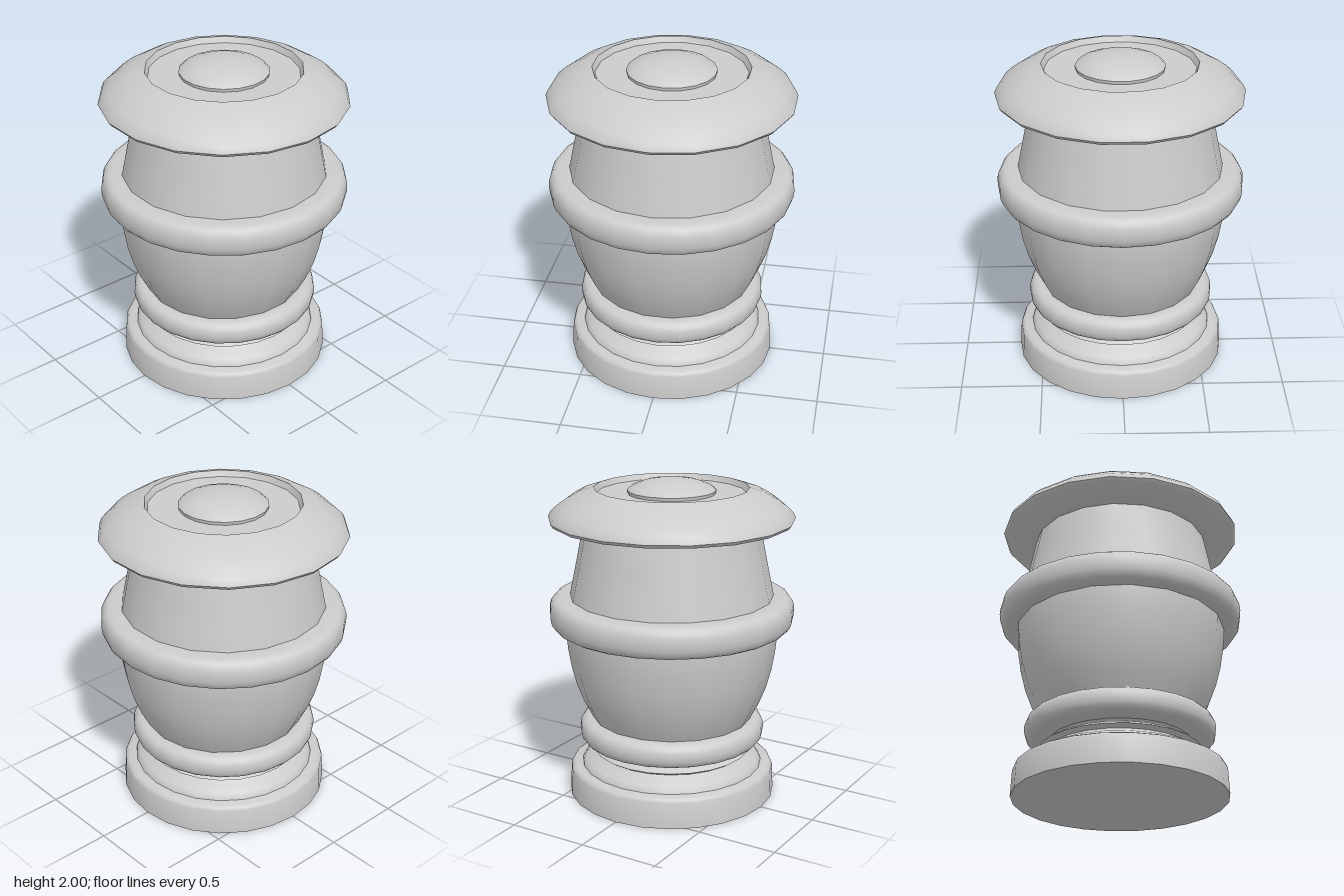
import * as THREE from 'three';
import { toCreasedNormals } from 'three/addons/utils/BufferGeometryUtils.js';

const material = new THREE.MeshStandardMaterial({ color: 0xcccccc });

// Turned part: profile of [radius, y] running from the bottom up
function turned(name, profile, sides, start = Math.PI / 2) {
  const points = profile.map(([r, y]) => new THREE.Vector2(r, y));
  const geometry = new THREE.LatheGeometry(points, sides, start);
  const mesh = new THREE.Mesh(toCreasedNormals(geometry, 0.75), material);
  mesh.name = name;
  return mesh;
}

// Bulging ring with softly squared edges, between two heights
function ring(name, inner, outer, y0, y1) {
  const mid = (y0 + y1) / 2, half = (y1 - y0) / 2, depth = 0.075;
  const profile = [[inner, y0]];
  for (let i = 0; i <= 10; i++) {
    const a = -Math.PI / 2 + (i / 10) * Math.PI;
    const c = Math.max(0, Math.cos(a)), s = Math.sin(a);
    profile.push([
      outer - depth + depth * Math.pow(c, 0.8),
      mid + half * Math.sign(s) * Math.pow(Math.abs(s), 0.85),
    ]);
  }
  profile.push([inner, y1]);
  return turned(name, profile, 24);
}

export function createModel() {
  const model = new THREE.Group();
  model.name = 'turnedPost';

  // Foot: plain plinth and the moulded neck above it
  model.add(turned('base', [
    [0, 0], [0.65, 0], [0.642, 0.16], [0.634, 0.178], [0.615, 0.188], [0, 0.188],
  ], 24));
  model.add(turned('neck', [
    [0.57, 0.18], [0.565, 0.2], [0.545, 0.225], [0.49, 0.25], [0.465, 0.27],
    [0.497, 0.29], [0.46, 0.315], [0.425, 0.33], [0.45, 0.36],
  ], 24));
  model.add(ring('lowerRing', 0.43, 0.58, 0.343, 0.498));

  // Body: rounded bowl below, tapering sleeve above
  const bowl = turned('lowerBody', [
    [0.47, 0.44], [0.503, 0.5], [0.555, 0.6], [0.598, 0.71], [0.63, 0.83],
    [0.65, 0.95], [0.658, 1.03], [0.66, 1.12], [0.655, 1.2],
  ], 18, 0);
  bowl.scale.x = 0.98;
  model.add(bowl);
  model.add(ring('upperRing', 0.6, 0.755, 1.085, 1.28));
  model.add(turned('upperBody', [
    [0.645, 1.18], [0.627, 1.28], [0.602, 1.4], [0.575, 1.53], [0.54, 1.71],
  ], 18));

  // Cap: flared underside, domed shoulder and a shallow recess
  model.add(turned('cap', [
    [0, 1.7], [0.54, 1.7], [0.735, 1.742], [0.75, 1.762], [0.735, 1.795], [0.695, 1.832],
    [0.64, 1.872], [0.56, 1.917], [0.47, 1.946], [0.453, 1.91], [0, 1.91],
  ], 18));
  model.add(turned('button', [
    [0.265, 1.905], [0.27, 1.93], [0.245, 1.952], [0.17, 1.98], [0.085, 1.996], [0, 2],
  ], 18));

  return model;
}
